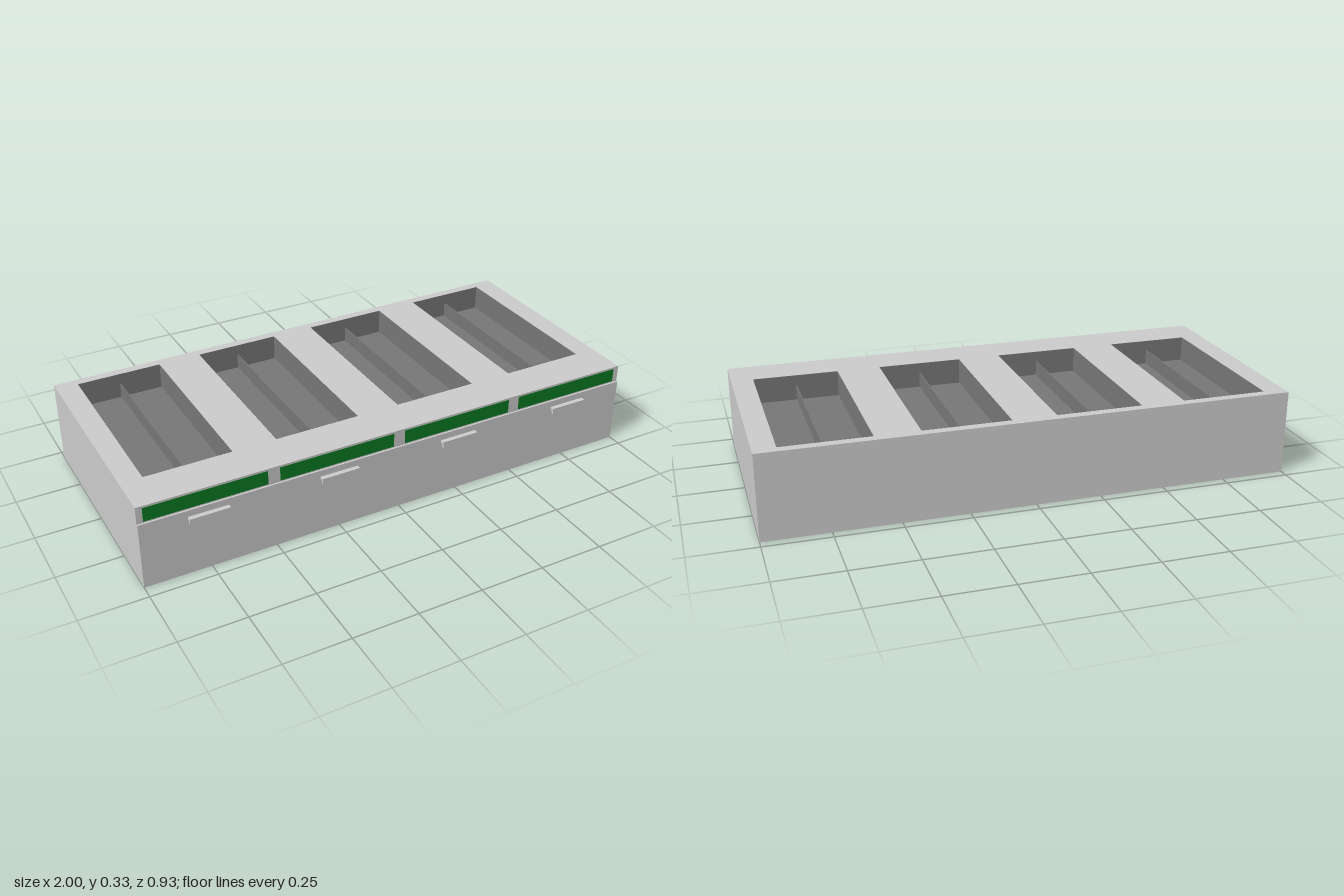
import * as THREE from 'three';

const grey = new THREE.MeshStandardMaterial({ color: 0xcccccc });
const green = new THREE.MeshStandardMaterial({ color: 0x0c7a22 });
const dark = new THREE.MeshStandardMaterial({ color: 0x777777, side: THREE.DoubleSide });

const TOP = 0.327, FLOOR = 0.225, STEP = 0.26;
const BACK = -0.465, FRONT = 0.447, UPPER_FRONT = 0.44;
const WELL = { half: 0.166, back: -0.43, front: 0.283 };
const bays = [-0.75, -0.25, 0.25, 0.75];

function add(group, name, geometry, material) {
  const mesh = new THREE.Mesh(geometry, material);
  mesh.name = name;
  group.add(mesh);
  return mesh;
}

// Box given by its lower and upper corners
function block(group, name, a, b, material) {
  const mesh = add(group, name, new THREE.BoxGeometry(b[0] - a[0], b[1] - a[1], b[2] - a[2]), material);
  mesh.position.set((a[0] + b[0]) / 2, (a[1] + b[1]) / 2, (a[2] + b[2]) / 2);
  return mesh;
}

// Closed rectangle; shape y is -z
function rectangle(path, x0, x1, z0, z1) {
  path.moveTo(x0, -z1);
  path.lineTo(x1, -z1);
  path.lineTo(x1, -z0);
  path.lineTo(x0, -z0);
  path.closePath();
  return path;
}

export function createModel() {
  const model = new THREE.Group();
  model.name = 'compartmentCase';

  // Lower body and the slightly projecting front lip
  block(model, 'lowerBody', [-1, 0, BACK], [1, FLOOR, FRONT], grey);
  block(model, 'frontLip', [-1, FLOOR, UPPER_FRONT], [1, STEP, FRONT], grey);

  // Upper body with a rectangular opening for each bay
  const deckShape = rectangle(new THREE.Shape(), -1, 1, BACK, UPPER_FRONT);
  for (const x of bays) {
    deckShape.holes.push(rectangle(new THREE.Path(), x - WELL.half, x + WELL.half, WELL.back, WELL.front));
  }
  const deckGeometry = new THREE.ExtrudeGeometry(deckShape, { depth: TOP - FLOOR, bevelEnabled: false });
  deckGeometry.rotateX(-Math.PI / 2);
  add(model, 'upperBody', deckGeometry, grey).position.y = FLOOR;

  // Hooked handle profile: x is z depth, y is height
  const hook = new THREE.Shape([
    [0, 0.225], [0.009, 0.225], [0.009, 0.212], [0.018, 0.212], [0.018, 0.235], [0, 0.235],
  ].map(([z, y]) => new THREE.Vector2(z, y)));
  const handleGeometry = new THREE.ExtrudeGeometry(hook, { depth: 0.15, bevelEnabled: false });
  handleGeometry.translate(0, 0, -0.075).rotateY(-Math.PI / 2);

  for (const x of bays) {
    const bay = new THREE.Group();
    bay.name = 'bay';
    bay.position.x = x;
    model.add(bay);

    // Dark open-topped lining
    const w = WELL.half - 0.001, z0 = WELL.back + 0.001, z1 = WELL.front - 0.001;
    const lining = block(bay, 'wellLining', [-w, FLOOR + 0.001, z0], [w, TOP - 0.0005, z1], dark);
    const index = Array.from(lining.geometry.index.array);
    index.splice(12, 6);
    lining.geometry.setIndex(index);
    lining.geometry.clearGroups();

    // Thin central divider
    block(bay, 'divider', [-0.002, FLOOR + 0.001, z0], [0.002, 0.285, z1], dark);

    // Coloured front strip and handle below it
    block(bay, 'frontStrip', [-0.227, 0.265, UPPER_FRONT - 0.004], [0.227, 0.319, UPPER_FRONT + 0.001], green);
    add(bay, 'handle', handleGeometry, grey).position.z = FRONT;
  }
  return model;
}
